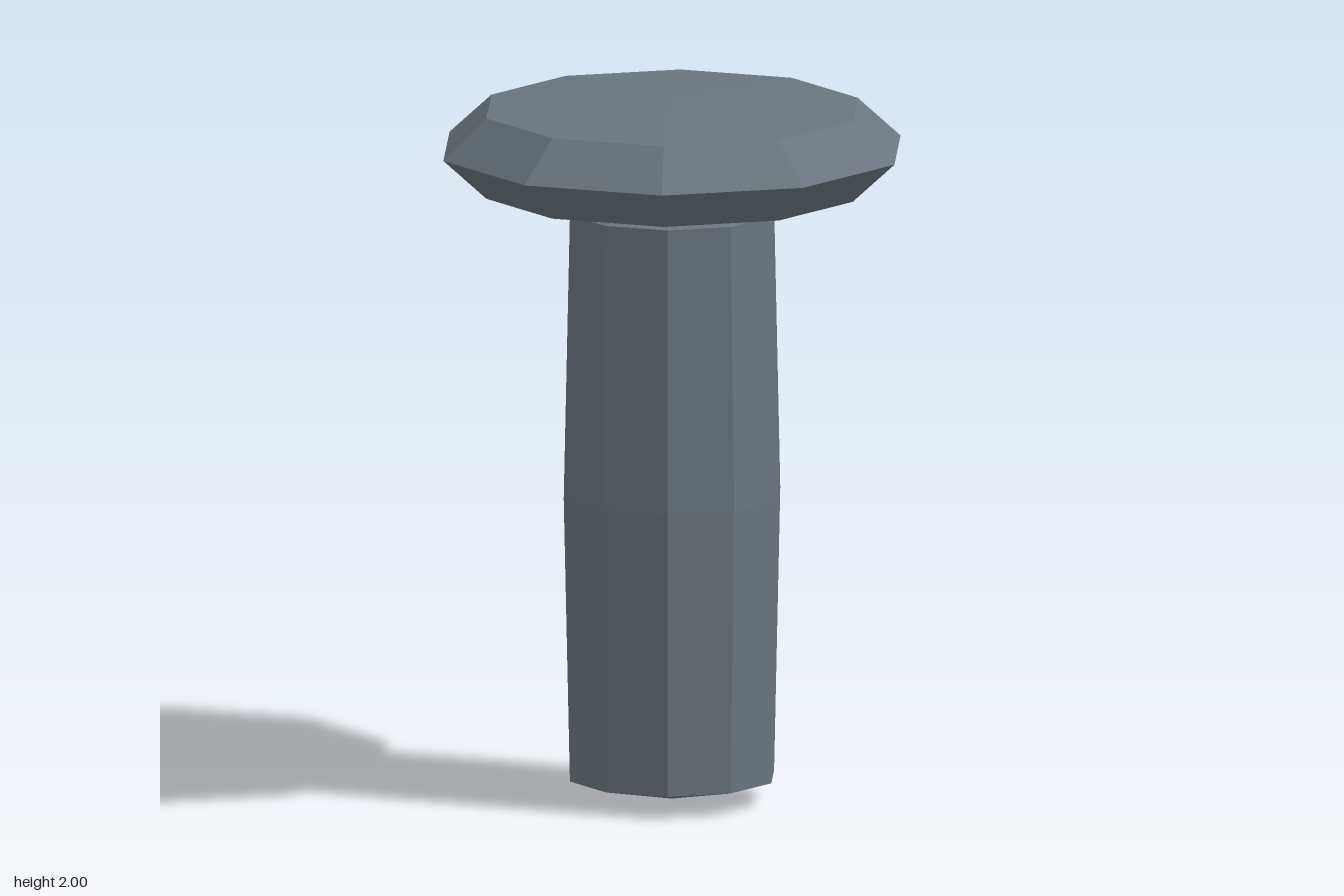
import * as THREE from 'three';

const SIDES = 10;

// Ten-sided turned solid with corners on the x axis; profile runs bottom to top
function turned(name, profile, material) {
  const points = profile.map(([r, y]) => new THREE.Vector2(r, y));
  const geometry = new THREE.LatheGeometry(points, SIDES, Math.PI / 2);
  const mesh = new THREE.Mesh(geometry, material);
  mesh.name = name;
  return mesh;
}

export function createModel() {
  const steel = new THREE.MeshStandardMaterial({ color: 0x6b757d });
  steel.name = 'steel grey';
  steel.flatShading = true;

  const model = new THREE.Group();
  model.name = 'rivet';

  // Slightly barrelled shank with shallow pointed ends
  model.add(turned('shank', [
    [0, 0], [0.297, 0.065], [0.315, 0.875], [0.297, 1.685], [0, 1.74],
  ], steel));

  // Wide bevelled head, gently domed above and below
  model.add(turned('head', [
    [0, 1.72], [0.54, 1.745], [0.665, 1.86], [0.54, 1.975], [0, 2],
  ], steel));

  return model;
}
